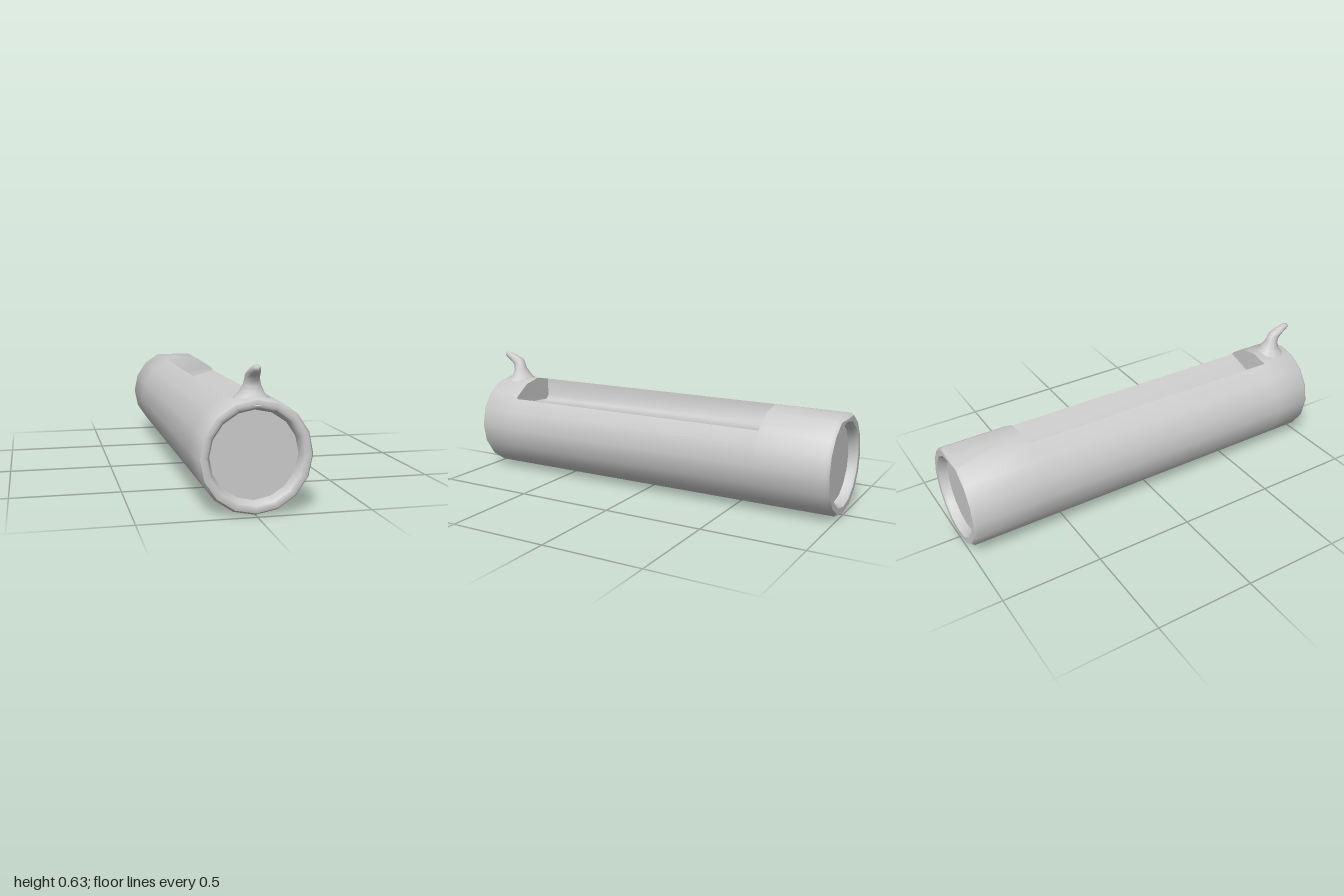
import * as THREE from 'three';
import { toCreasedNormals } from 'three/addons/utils/BufferGeometryUtils.js';

const R = 0.246, CY = 0.25, STEP = Math.PI / 8;
const Z_BACK = -0.64, Z_FRONT = 0.78; // ends of the hollow
const EDGE = THREE.MathUtils.degToRad(49.5); // low edge of the hollow

// Angles run from the top towards +x: 16 sides plus the hollow's low edge
const angles = [-STEP, 0, STEP, 2 * STEP, EDGE];
for (let i = 3; i <= 15; i++) angles.push(i * STEP);

// Point on a 16-sided ring; the crest flattens towards the back end
function ringPoint(radius, z, a) {
  const local = a - Math.round(a / STEP - 0.5) * STEP - STEP / 2;
  let r = radius * Math.cos(STEP / 2) / Math.cos(local);
  if (Math.abs(a) < 1e-6 && z < Z_BACK && radius > 0.21) r -= 0.021 * (Z_BACK - z) / 0.36;
  return [r * Math.sin(a), CY + r * Math.cos(a), z];
}

const tri = (out, a, b, c) => out.push(...a, ...b, ...c);
function quad(out, a, b, c, d) {
  tri(out, a, b, c);
  tri(out, a, c, d);
}

function makeMesh(name, positions, crease) {
  const geometry = new THREE.BufferGeometry();
  geometry.setAttribute('position', new THREE.Float32BufferAttribute(positions, 3));
  const mesh = new THREE.Mesh(
    toCreasedNormals(geometry, crease),
    new THREE.MeshStandardMaterial({ color: 0xcccccc })
  );
  mesh.name = name;
  return mesh;
}

// Trunk with rounded rims, recessed ends and an open strip on top
function createTrunk() {
  const profile = [
    [0, -0.955], [0.19, -0.955], [0.196, -0.985], [0.206, -1], [0.236, -1], [R, -0.985],
    [R, Z_BACK], [R, Z_FRONT],
    [R, 0.965], [0.236, 0.982], [0.222, 0.986], [0.206, 0.982], [0.196, 0.967], [0.19, 0.94], [0, 0.94],
  ];
  const out = [];
  for (let i = 0; i < profile.length - 1; i++) {
    const [r0, z0] = profile[i], [r1, z1] = profile[i + 1];
    for (let j = 0; j < angles.length - 1; j++) {
      if (z0 === Z_BACK && j < 4) continue;
      const a = ringPoint(r0, z0, angles[j]), b = ringPoint(r1, z1, angles[j]);
      const c = ringPoint(r1, z1, angles[j + 1]), d = ringPoint(r0, z0, angles[j + 1]);
      if (r0 === 0) tri(out, a, b, c);
      else if (r1 === 0) tri(out, a, b, d);
      else quad(out, a, b, c, d);
    }
  }
  return makeMesh('trunk', out, 0.75);
}

// Side wall, sloping floor and two end walls of the hollow
function createHollow() {
  const out = [];
  const floorBack = Z_BACK + 0.02, floorFront = Z_FRONT - 0.004;
  const section = (zTop, zFloor) => [
    ringPoint(R, zTop, -STEP),
    [-0.09, 0.385, zFloor],
    [-0.07, 0.365, zFloor],
    [0.04, 0.372, zFloor],
    ringPoint(R, zTop, EDGE),
  ];
  const back = section(Z_BACK, floorBack), front = section(Z_FRONT, floorFront);
  for (let i = 0; i < back.length - 1; i++) quad(out, back[i], front[i], front[i + 1], back[i + 1]);

  for (const [low, z, flip] of [[back, Z_BACK, false], [front, Z_FRONT, true]]) {
    const rim = angles.slice(0, 5).map(a => ringPoint(R, z, a));
    const loop = [...rim, low[3], low[2]];
    for (let i = 0; i < loop.length - 1; i++) {
      if (flip) tri(out, low[1], loop[i], loop[i + 1]);
      else tri(out, low[1], loop[i + 1], loop[i]);
    }
  }
  return makeMesh('hollow', out, 0.9);
}

// Twig: tapered rings that flare at the base and bend forward
function createTwig() {
  // x, y, z, half width, half depth, forward tilt
  const rings = [
    [0, 0.462, 0.89, 0.105, 0.1, 0],
    [0, 0.503, 0.888, 0.055, 0.055, 0.05],
    [0, 0.54, 0.897, 0.037, 0.033, 0.2],
    [-0.002, 0.575, 0.908, 0.031, 0.031, 0.65],
    [-0.003, 0.597, 0.942, 0.027, 0.022, 1.1],
    [-0.004, 0.614, 0.982, 0.017, 0.017, 1.25],
    [-0.004, 0.617, 0.996, 0.01, 0.011, 1.3],
  ];
  const sides = 10, out = [];
  const point = ([x, y, z, w, d, tilt], j) => {
    const b = j / sides * Math.PI * 2, u = d * Math.cos(b);
    return [x + w * Math.sin(b), y - u * Math.sin(tilt), z + u * Math.cos(tilt)];
  };
  for (let j = 0; j < sides; j++) {
    for (let i = 0; i < rings.length - 1; i++) {
      quad(out, point(rings[i], j), point(rings[i], j + 1), point(rings[i + 1], j + 1), point(rings[i + 1], j));
    }
    const last = rings[rings.length - 1];
    tri(out, point(last, j), point(last, j + 1), [-0.004, 0.618, 1]);
  }
  return makeMesh('twig', out, 1.3);
}

export function createModel() {
  const group = new THREE.Group();
  group.name = 'hollowLog';
  group.add(createTrunk(), createHollow(), createTwig());
  return group;
}
